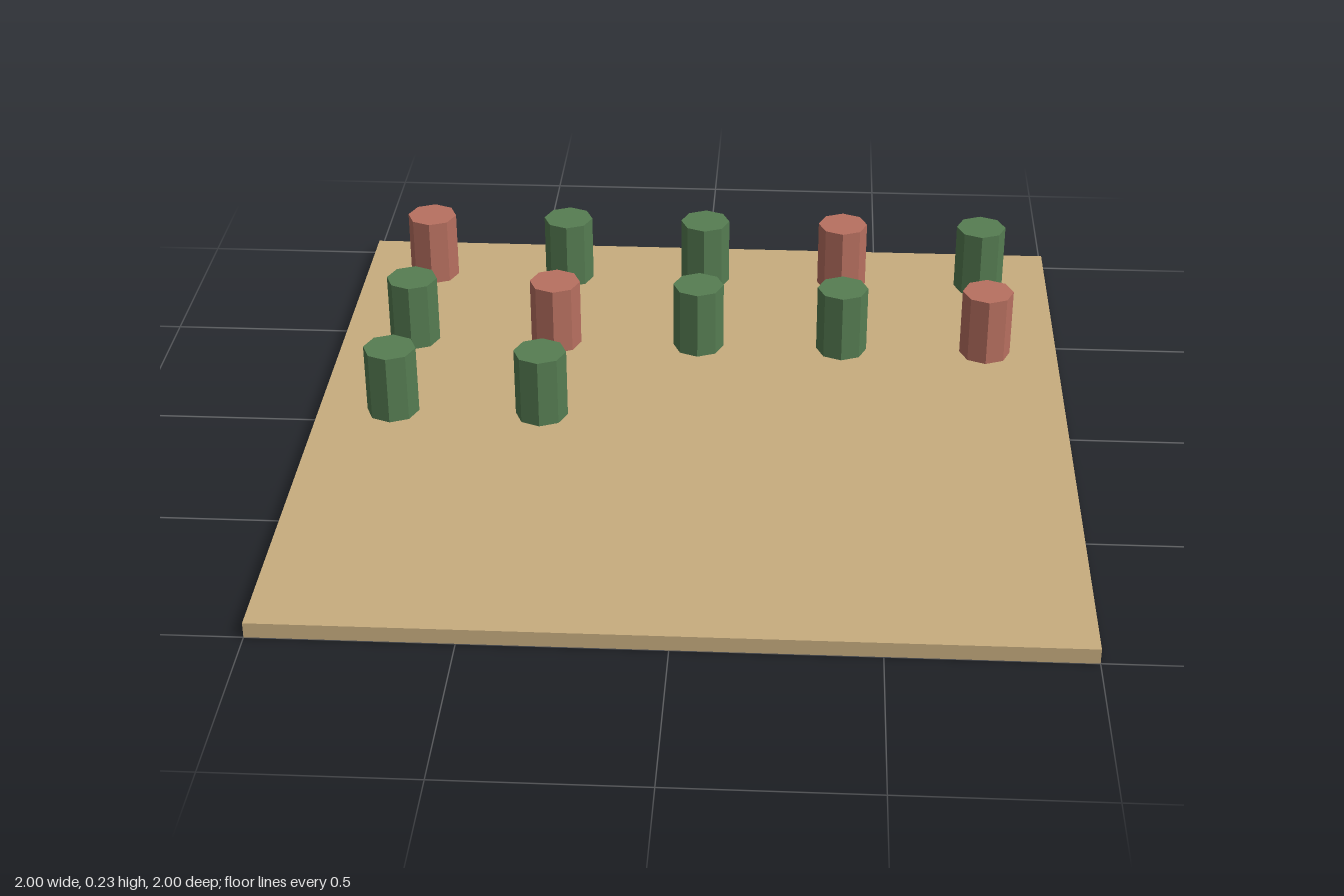
import * as THREE from 'three';

const BOARD_HEIGHT = 0.04;
const PEG_HEIGHT = 0.19;
const PEG_RADIUS = 0.07;
const SPACING = 0.4;
const COLUMNS = 5;
const PEG_COUNT = 12;

export function createModel() {
  const model = new THREE.Group();
  model.name = 'pegBoard';

  const wood = new THREE.MeshStandardMaterial({ color: 0xc8ad7f });
  const green = new THREE.MeshStandardMaterial({ color: 0x567d52, flatShading: true });
  const red = new THREE.MeshStandardMaterial({ color: 0xb87060, flatShading: true });

  // Flat square board
  const board = new THREE.Mesh(new THREE.BoxGeometry(2, BOARD_HEIGHT, 2), wood);
  board.name = 'board';
  board.position.y = BOARD_HEIGHT / 2;
  model.add(board);

  // Octagonal pegs, filled row by row from the back; every third one is red
  const pegGeometry = new THREE.CylinderGeometry(PEG_RADIUS, PEG_RADIUS, PEG_HEIGHT, 8);
  for (let i = 0; i < PEG_COUNT; i++) {
    const isRed = i % 3 === 0;
    const column = i % COLUMNS;
    const row = Math.floor(i / COLUMNS);
    const peg = new THREE.Mesh(pegGeometry, isRed ? red : green);
    peg.name = `${isRed ? 'red' : 'green'}Peg${i + 1}`;
    peg.position.set(
      -0.8 + column * SPACING,
      BOARD_HEIGHT + PEG_HEIGHT / 2,
      -0.8 + row * SPACING
    );
    model.add(peg);
  }

  return model;
}
